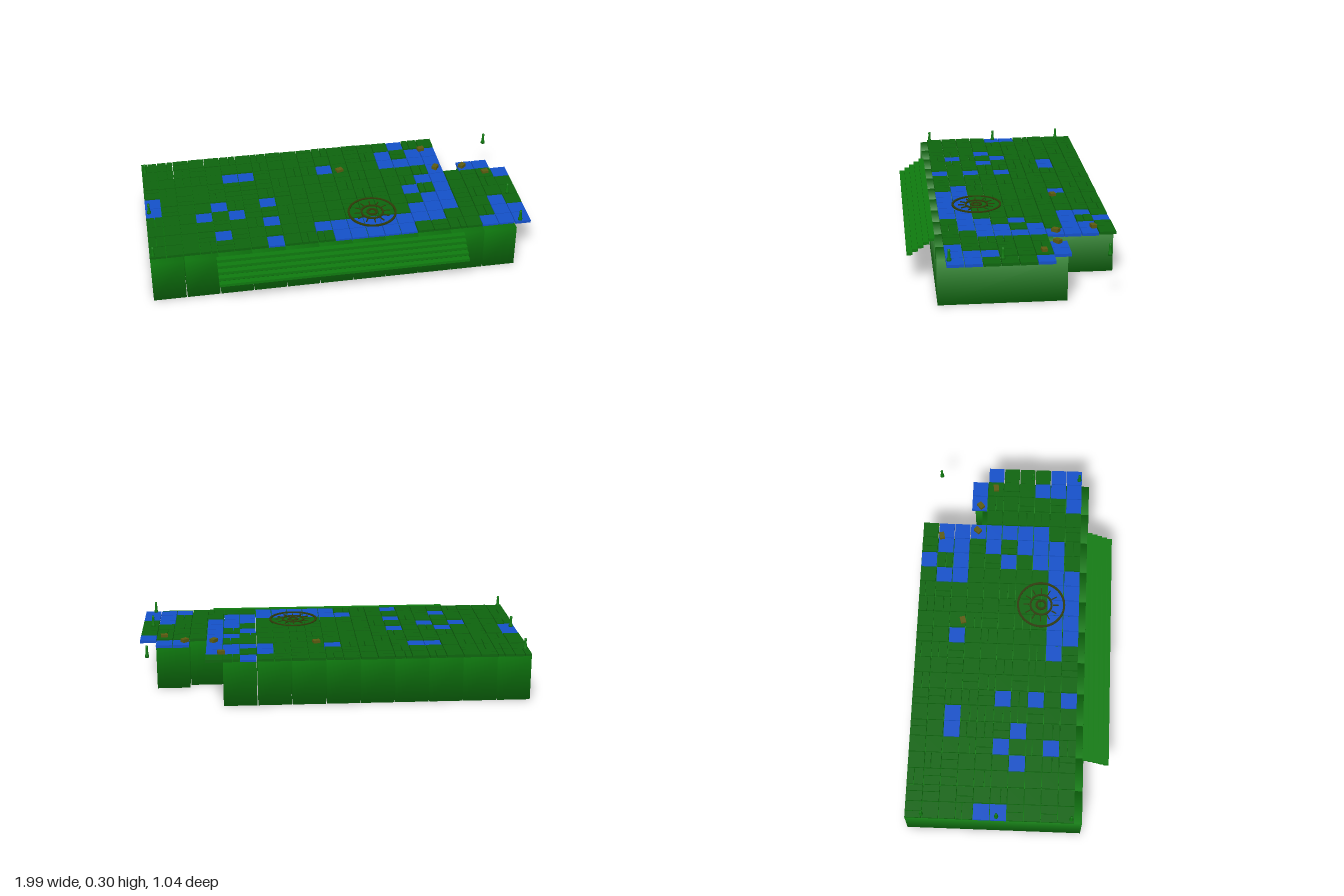
import * as THREE from 'three';
import { mergeVertices } from 'three/addons/utils/BufferGeometryUtils.js';

const mat = (color) => new THREE.MeshStandardMaterial({ color });

// Box with shared corners, so its shading is smooth and weighted to the large faces
function softBox(w, h, d) {
  const g = new THREE.BoxGeometry(w, h, d);
  g.deleteAttribute('uv');
  g.deleteAttribute('normal');
  const m = mergeVertices(g);
  m.computeVertexNormals();
  return m;
}

function seeded(seed) {
  return () => {
    seed = (seed * 16807) % 2147483647;
    return seed / 2147483647;
  };
}

export function createModel() {
  const model = new THREE.Group();
  const rand = seeded(77);
  const green = mat(0x0f7a0f);
  const tileGreen = mat(0x0d640d);
  const blue = mat(0x1450c8);
  const olive = mat(0x5c5a10);
  const bronze = mat(0x2e3a08);

  function group(name) {
    const g = new THREE.Group();
    g.name = name;
    model.add(g);
    return g;
  }
  function add(parent, name, geo, material, x, y, z) {
    const m = new THREE.Mesh(geo, material);
    m.name = name;
    m.position.set(x, y, z);
    parent.add(m);
    return m;
  }

  // Foundation: eleven long blocks, the last two cut short at the back
  const foundation = group('foundation');
  const pitch = 0.1736, front = 0.385, top = 0.232;
  for (let i = 0; i < 11; i++) {
    const back = i === 10 ? -0.24 : i === 9 ? -0.2 : -0.52;
    add(foundation, 'foundationBlock', softBox(pitch - 0.005, top, front - back), green,
      -1 + pitch * (i + 0.5), top / 2, (front + back) / 2);
  }

  // Paving: g = green slab, b = blue slab, . = missing
  const paving = group('paving');
  const rows = [
    'ggggggggggggggggbgg....',
    'gggggggggggggggbgbb....',
    'gggggbbggggbgggbbbb....',
    'ggggggggggggggggggb.bb.',
    'bggggggggggggggggbbgggb',
    'bgggbggbggggggggbgbgggg',
    'gggbgbgggggggggggbbgggg',
    'gggggggbggggggggbbbggbg',
    'ggggbgggggbbbbbbbbgggbb',
    'gggggggbggbbbbbbggggbbb'.replace('gbbb', 'ggbb'),
  ];
  const px = 0.0868, pz = 0.0866, gap = 0.004;
  rows.forEach((row, r) => [...row].forEach((c, i) => {
    if (c === '.') return;
    const x = -1 + px * (i + 0.5), z = -0.52 + pz * (r + 0.5);
    if (c === 'b' || i === 22) {
      add(paving, 'blueSlab', new THREE.BoxGeometry(px - gap, 0.015, pz - gap),
        c === 'b' ? blue : tileGreen, x, 0.234, z);
      return;
    }
    // Some green slabs are split in two across their width or depth
    const y = 0.237 + rand() * 0.003, kind = rand();
    if (kind < 0.5) {
      const cut = 0.35 + rand() * 0.3, alongX = kind < 0.25;
      [[0, cut], [cut, 1]].forEach(([a, b]) => {
        const off = (a + b) / 2 - 0.5;
        add(paving, 'splitSlab',
          new THREE.BoxGeometry(alongX ? px * (b - a) - gap : px - gap, 0.015, alongX ? pz - gap : pz * (b - a) - gap),
          tileGreen, x + (alongX ? off * px : 0), y, z + (alongX ? 0 : off * pz));
      });
    } else {
      add(paving, 'greenSlab', new THREE.BoxGeometry(px - gap, 0.015, pz - gap), tileGreen, x, y, z);
    }
  }));

  // Front stairs: five floating treads
  const stairs = group('stairs');
  for (let i = 0; i < 5; i++) {
    add(stairs, 'stairTread', new THREE.BoxGeometry(1.29, 0.015, 0.029), green,
      -0.02, 0.157 + i * 0.0175, 0.506 - i * 0.0277);
  }

  // Edge posts with a wider foot
  const posts = group('edgePosts');
  const profile = [[0, 0], [0.011, 0], [0.011, 0.012], [0.008, 0.016], [0.006, 0.045], [0.007, 0.05], [0.006, 0.06], [0, 0.061]]
    .map(([x, y]) => new THREE.Vector2(x, y));
  const postGeo = new THREE.LatheGeometry(profile, 10);
  [[-0.98, 0.33], [-0.98, -0.052], [-0.98, -0.435], [0.94, 0.33], [0.94, 0.075], [0.94, -0.435]]
    .forEach(([x, z]) => add(posts, 'edgePost', postGeo, green, x, 0.239, z));

  // Round floor inlay: three flat rings and short spokes
  const inlay = group('roundInlay');
  inlay.position.set(0.185, 0.244, 0.14);
  function ring(name, outer, inner) {
    const s = new THREE.Shape().absarc(0, 0, outer, 0, Math.PI * 2, false);
    s.holes.push(new THREE.Path().absarc(0, 0, inner, 0, Math.PI * 2, true));
    const g = new THREE.ExtrudeGeometry(s, { depth: 0.007, bevelEnabled: false, curveSegments: 24 });
    g.rotateX(-Math.PI / 2);
    add(inlay, name, g, bronze, 0, 0, 0);
  }
  ring('outerRing', 0.13, 0.119);
  ring('middleRing', 0.062, 0.052);
  ring('hubRing', 0.03, 0.018);
  for (let i = 0; i < 12; i++) {
    const a = (i / 12) * Math.PI * 2;
    const spoke = add(inlay, 'inlaySpoke', new THREE.BoxGeometry(0.03, 0.006, 0.005), bronze,
      Math.cos(a) * 0.08, 0.003, Math.sin(a) * 0.08);
    spoke.rotation.y = -a;
  }

  // Loose stones lying on the paving
  const stones = group('looseStones');
  [[0.08, -0.275, 0.3], [0.57, -0.415, 0.2], [0.61, -0.22, 0.9], [0.76, -0.21, 0.7], [0.87, -0.13, 0.1]]
    .forEach(([x, z, turn]) => {
      add(stones, 'looseStone', new THREE.BoxGeometry(0.036, 0.018, 0.028), olive, x, 0.252, z).rotation.y = turn;
    });

  return model;
}
